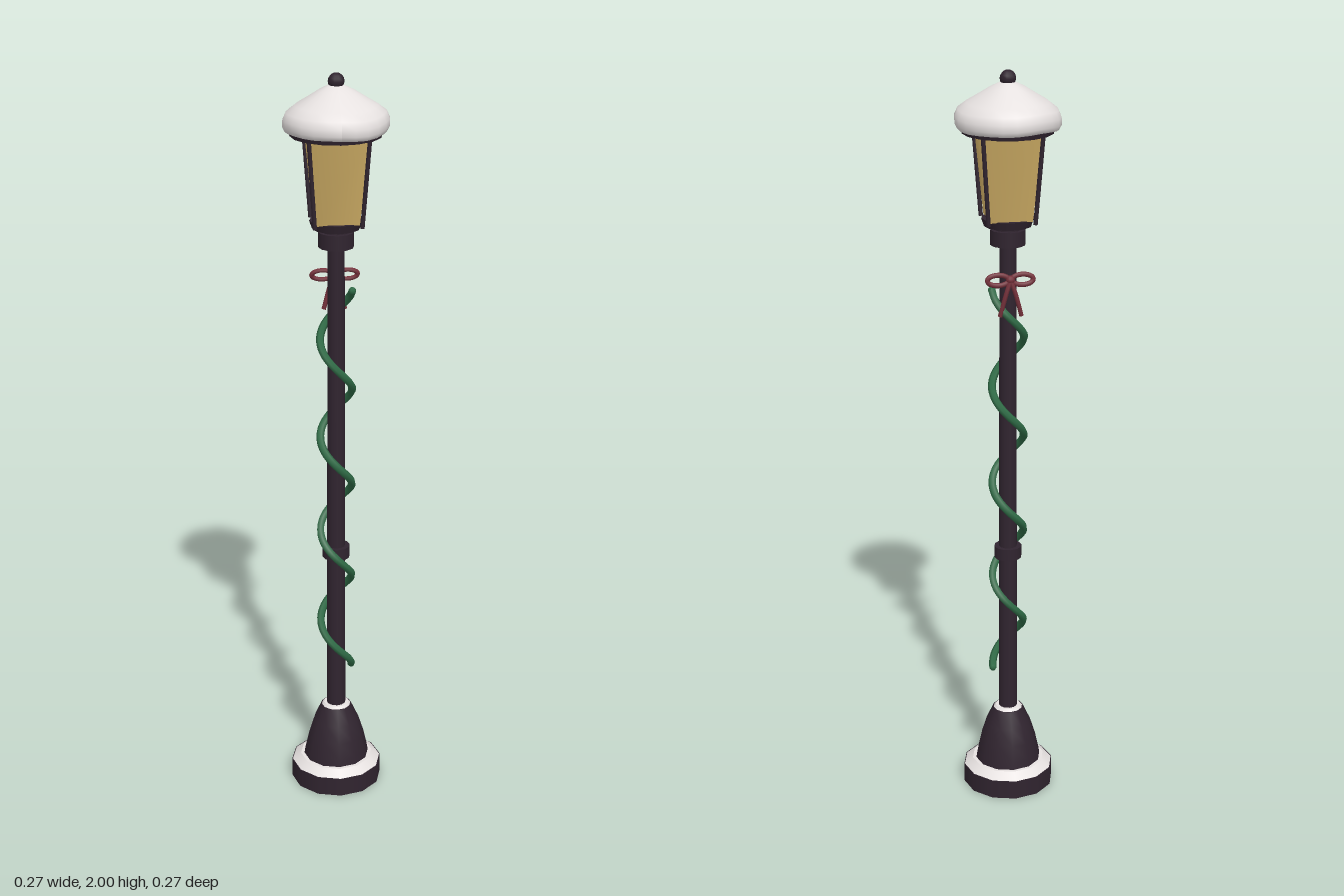
import * as THREE from 'three';
import { toCreasedNormals } from 'three/addons/utils/BufferGeometryUtils.js';

const material = (name, color) => {
  const m = new THREE.MeshStandardMaterial({ color });
  m.name = name;
  return m;
};

export function createModel() {
  const lamp = new THREE.Group();
  lamp.name = 'streetLamp';
  const iron = material('darkIron', 0x30242f);
  const snow = material('snow', 0xe6e1e0);
  const glass = material('amberGlass', 0xd6b469);
  const green = material('garlandGreen', 0x2f6b46);
  const red = material('ribbonRed', 0x74303a);

  const add = (name, geometry, mat, parent = lamp) => {
    const mesh = new THREE.Mesh(geometry, mat);
    mesh.name = name;
    parent.add(mesh);
    return mesh;
  };
  // upright cylinder between two heights
  const drum = (name, rBottom, rTop, y0, y1, mat, sides = 12) => {
    const g = new THREE.CylinderGeometry(rTop, rBottom, y1 - y0, sides);
    return add(name, g.translate(0, (y0 + y1) / 2, 0), mat);
  };
  const lathe = (points, sides) =>
    new THREE.LatheGeometry(points.map(([r, y]) => new THREE.Vector2(r, y)), sides);
  const tube = (points, radius, segments, closed = false) =>
    new THREE.TubeGeometry(new THREE.CatmullRomCurve3(points, closed), segments, radius, 6, closed);

  // foot, with snow resting on its ledges
  drum('footPlinth', 0.125, 0.125, 0, 0.053, iron);
  drum('plinthSnow', 0.123, 0.1, 0.053, 0.071, snow);
  add('footSkirt', toCreasedNormals(lathe(
    [[0.092, 0.06], [0.087, 0.09], [0.077, 0.135], [0.063, 0.18], [0.042, 0.226], [0, 0.226]], 12), 0.7), iron);
  drum('skirtSnow', 0.04, 0.034, 0.226, 0.232, snow);

  // pole and collars
  drum('pole', 0.026, 0.022, 0.22, 1.57, iron);
  drum('poleRing', 0.037, 0.037, 0.683, 0.716, iron);
  drum('topCollar', 0.046, 0.046, 1.555, 1.595, iron);
  drum('lanternNeck', 0.036, 0.036, 1.59, 1.61, iron);
  drum('lanternTray', 0.062, 0.069, 1.605, 1.626, iron);

  // tapered four-sided lantern with corner bars
  drum('lanternGlass', 0.077, 0.106, 1.624, 1.848, glass, 4).rotation.y = Math.PI / 4;
  const up = new THREE.Vector3(0, 1, 0);
  for (const sx of [-1, 1]) for (const sz of [-1, 1]) {
    const low = new THREE.Vector3(sx * 0.06, 1.618, sz * 0.06);
    const high = new THREE.Vector3(sx * 0.076, 1.85, sz * 0.076);
    const dir = high.clone().sub(low);
    const bar = add('lanternBar', new THREE.CylinderGeometry(0.006, 0.006, dir.length(), 6), iron);
    bar.position.copy(low).add(high).multiplyScalar(0.5);
    bar.quaternion.setFromUnitVectors(up, dir.normalize());
  }

  // roof, snow cap and finial
  drum('roof', 0.117, 0.122, 1.844, 1.862, iron, 16);
  const cap = lathe([[0.112, 1.853], [0.129, 1.856], [0.135, 1.868], [0.135, 1.885], [0.127, 1.903],
    [0.105, 1.92], [0.075, 1.938], [0.045, 1.957], [0.02, 1.969], [0, 1.971]], 24);
  const pos = cap.attributes.position;
  for (let i = 0; i < pos.count; i++) { // gentle unevenness, fading towards the peak
    const x = pos.getX(i), z = pos.getZ(i), a = Math.atan2(z, x);
    const lump = Math.sin(3 * a + 1) + 0.7 * Math.sin(5 * a);
    pos.setY(i, pos.getY(i) + 0.0022 * lump * Math.hypot(x, z) / 0.135);
  }
  cap.computeVertexNormals();
  add('roofSnow', cap, snow);
  drum('finialStem', 0.014, 0.012, 1.955, 1.975, iron, 8);
  add('finialBall', new THREE.SphereGeometry(0.021, 10, 8).translate(0, 1.979, 0), iron);

  // garland winding four times up the pole
  const helix = [];
  for (let i = 0; i <= 64; i++) {
    const t = i / 64, a = t * 8 * Math.PI;
    helix.push(new THREE.Vector3(0.042 * Math.cos(a), 0.35 + 1.085 * t, 0.042 * Math.sin(a)));
  }
  add('garland', tube(helix, 0.0105, 160), green);
  for (const end of [helix[0], helix[64]])
    add('garlandEnd', new THREE.SphereGeometry(0.0105, 6, 5).translate(end.x, end.y, end.z), green);

  // ribbon bow tied at the back
  const bow = new THREE.Group();
  bow.name = 'bow';
  bow.position.set(0, 1.47, -0.036);
  lamp.add(bow);
  for (const s of [-1, 1]) {
    const loop = [];
    for (let i = 0; i < 12; i++) {
      const a = i / 12 * Math.PI * 2;
      loop.push(new THREE.Vector3(s * (0.032 + 0.028 * Math.cos(a)), 0.013 * Math.sin(a), 0.003 * Math.sin(a)));
    }
    add('bowLoop', tube(loop, 0.0065, 28, true), red, bow);
    const tail = [[0, 0, -0.004], [s * 0.012, -0.035, -0.008], [s * 0.028, -0.095, -0.006]];
    add('bowTail', tube(tail.map(p => new THREE.Vector3(...p)), 0.0062, 10), red, bow);
  }
  add('bowKnot', new THREE.SphereGeometry(0.012, 10, 8), red, bow);

  return lamp;
}
